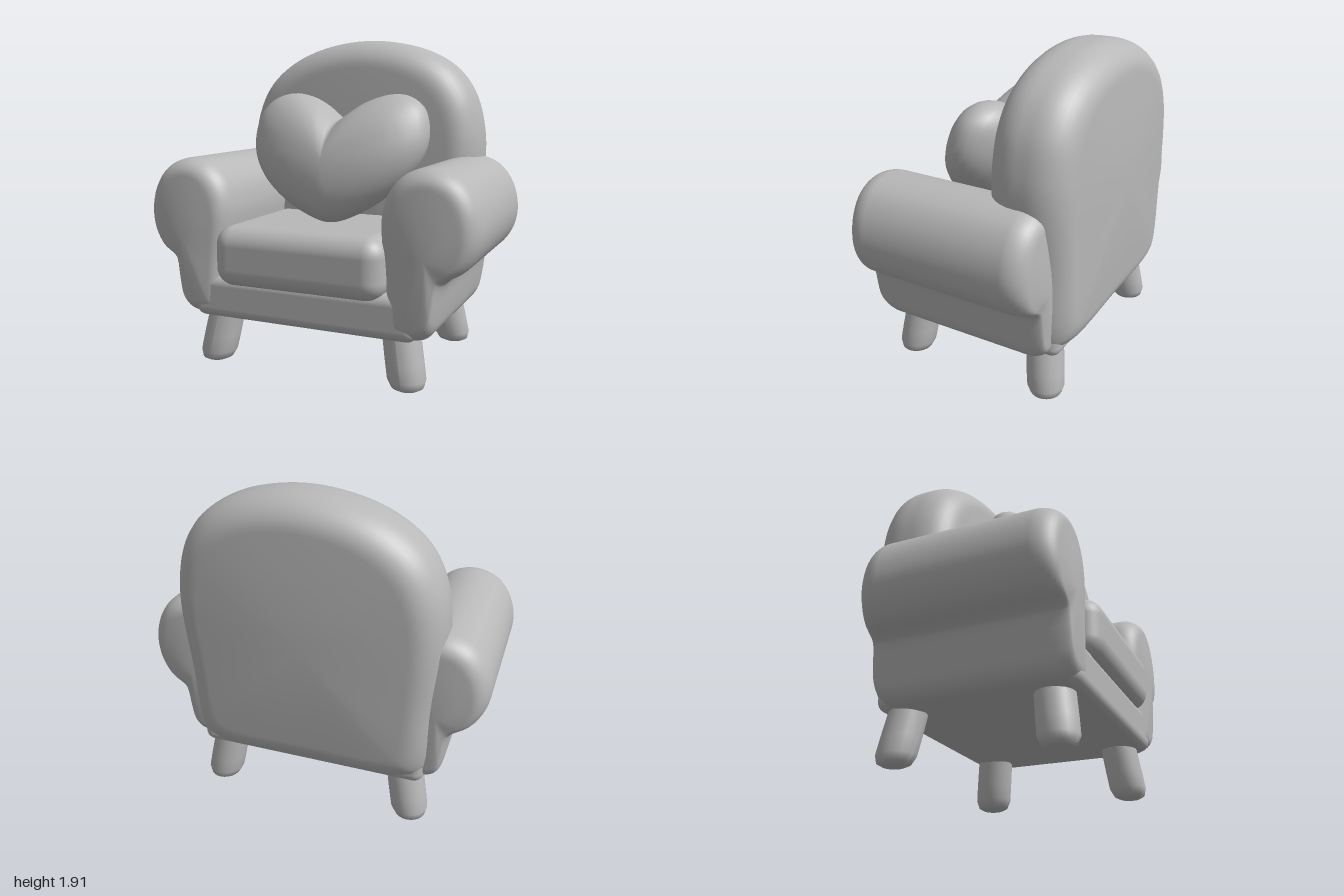
import * as THREE from 'three';
import { mergeVertices } from 'three/addons/utils/BufferGeometryUtils.js';
import { RoundedBoxGeometry } from 'three/addons/geometries/RoundedBoxGeometry.js';

const grey = new THREE.MeshStandardMaterial({ color: 0xb8b8b8 });
grey.name = 'soft grey';

// Closed smooth outline through a few counter-clockwise [x, y] points
function outline(points, count = 72) {
  const curve = new THREE.CatmullRomCurve3(points.map(([x, y]) => new THREE.Vector3(x, y, 0)), true);
  return curve.getPoints(count).slice(0, -1);
}

// Padded slab: the outline runs from z0 to z1, edges rounded by inset r and depth e, ends domed
function pad(pts, z0, z1, r, e, dome) {
  const box = new THREE.Box3().setFromPoints(pts);
  const c = box.getCenter(new THREE.Vector3());
  const h = box.getSize(new THREE.Vector3()).multiplyScalar(0.5);
  const rx = Math.min(r / h.x, 1), ry = Math.min(r / h.y, 1);
  const half = []; // from the middle of the cap outwards: [scale x, scale y, depth]
  for (const s of [0, 0.35, 0.7]) half.push([s * (1 - rx), s * (1 - ry), dome * s * s]);
  for (let i = 0; i <= 9; i++) {
    const t = (i / 9) * Math.PI / 2, f = 1 - Math.sin(t);
    half.push([1 - rx * f, 1 - ry * f, dome + e * (1 - Math.cos(t))]);
  }
  const rings = [
    ...half.map(([a, b, d]) => [a, b, z0 + d]),
    ...half.map(([a, b, d]) => [a, b, z1 - d]).reverse(),
  ];
  const pos = [], index = [], n = pts.length;
  for (const [a, b, z] of rings) {
    for (const p of pts) pos.push(c.x + (p.x - c.x) * a, c.y + (p.y - c.y) * b, z);
  }
  for (let k = 0; k < rings.length - 1; k++) {
    for (let j = 0; j < n; j++) {
      const a = k * n + j, b = k * n + (j + 1) % n;
      index.push(a, b, a + n, b, b + n, a + n);
    }
  }
  const geo = new THREE.BufferGeometry();
  geo.setAttribute('position', new THREE.Float32BufferAttribute(pos, 3));
  geo.setIndex(index);
  const merged = mergeVertices(geo, 1e-5);
  merged.computeVertexNormals();
  return merged;
}

// Moves every vertex by a rule
function deform(geo, rule) {
  const p = geo.attributes.position, v = new THREE.Vector3();
  for (let i = 0; i < p.count; i++) {
    rule(v.fromBufferAttribute(p, i));
    p.setXYZ(i, v.x, v.y, v.z);
  }
  geo.computeVertexNormals();
  return geo;
}

export function createModel() {
  const chair = new THREE.Group();
  chair.name = 'armchair';
  const add = (name, geo, x = 0, y = 0, z = 0) => {
    const mesh = new THREE.Mesh(geo, grey);
    mesh.name = name;
    mesh.position.set(x, y, z);
    chair.add(mesh);
  };

  // Backrest with a slightly lopsided rounded top
  const back = outline([
    [-0.6, 0.3], [0, 0.29], [0.6, 0.3], [0.69, 0.36], [0.745, 0.8], [0.785, 1.2], [0.775, 1.38],
    [0.72, 1.58], [0.6, 1.74], [0.4, 1.85], [0.09, 1.905], [-0.22, 1.87], [-0.45, 1.78],
    [-0.62, 1.64], [-0.715, 1.45], [-0.75, 1.2], [-0.735, 0.8], [-0.69, 0.36],
  ], 96);
  add('backrest', pad(back, -0.65, -0.12, 0.17, 0.2, 0.03));

  // Seat base and cushion
  add('seatBase', new RoundedBoxGeometry(1.36, 0.25, 1.14, 5, 0.06), 0, 0.415, 0.015);
  add('seatCushion', new RoundedBoxGeometry(1.03, 0.35, 0.85, 6, 0.11), -0.005, 0.665, 0.22);

  // Arms with an outward roll
  const armPoints = [
    [0.52, 0.3], [0.7, 0.3], [0.755, 0.35], [0.78, 0.45], [0.805, 0.6], [0.83, 0.63], [0.92, 0.69],
    [0.98, 0.79], [0.998, 0.91], [0.965, 1.05], [0.88, 1.16], [0.74, 1.21], [0.6, 1.18],
    [0.5, 1.08], [0.46, 0.94], [0.465, 0.8], [0.49, 0.6], [0.5, 0.36],
  ];
  const mirrored = armPoints.map(([x, y]) => [-x, y]).reverse();
  add('leftArm', pad(outline(armPoints), -0.54, 0.61, 0.1, 0.13, 0.02));
  add('rightArm', pad(outline(mirrored), -0.54, 0.61, 0.1, 0.13, 0.02));

  // Splayed stubby legs
  const legProfile = [[0, 0], [0.06, 0.003], [0.09, 0.018], [0.107, 0.06], [0.108, 0.15], [0.106, 0.38]]
    .map(([x, y]) => new THREE.Vector2(x, y));
  for (const [sx, side] of [[1, 'Left'], [-1, 'Right']]) {
    for (const [sz, end] of [[1, 'front'], [-1, 'back']]) {
      const leg = deform(new THREE.LatheGeometry(legProfile, 24), (v) => {
        v.x -= sx * 0.18 * v.y;
        v.z -= sz * 0.13 * v.y;
      });
      add(end + side + 'Leg', leg, sx * 0.605, 0, sz * 0.455);
    }
  }

  // Plump heart pillow leaning against the backrest
  const heart = outline([
    [0.05, 0.84], [0.17, 0.875], [0.35, 0.98], [0.5, 1.12], [0.575, 1.25], [0.59, 1.37],
    [0.55, 1.5], [0.46, 1.565], [0.34, 1.575], [0.2, 1.53], [0.1, 1.465], [0.05, 1.43],
    [0, 1.465], [-0.11, 1.54], [-0.25, 1.58], [-0.38, 1.555], [-0.47, 1.47], [-0.5, 1.34],
    [-0.485, 1.22], [-0.41, 1.09], [-0.26, 0.96], [-0.08, 0.87],
  ], 88);
  const pillow = pad(heart, -0.24, 0.24, 9, 0.24, 0);
  add('heartPillow', deform(pillow, (v) => { v.z += 0.14 - 0.25 * (v.y - 1.2); }));

  return chair;
}
